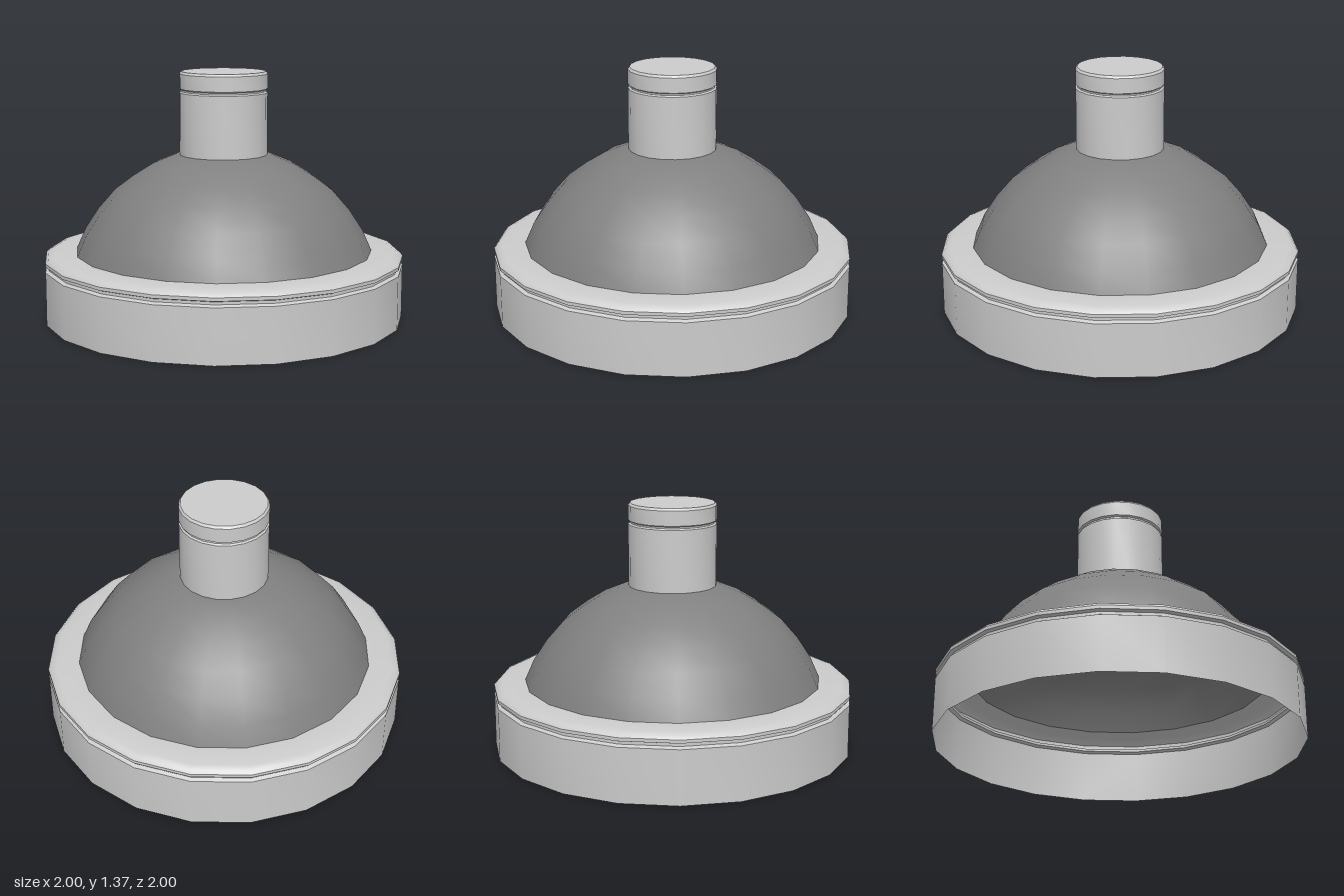
import * as THREE from 'three';
import { toCreasedNormals } from 'three/addons/utils/BufferGeometryUtils.js';

const SIDES = 20;

// Revolve a [radius, height] profile, listed from bottom to top
function turned(name, profile, color, crease = 0.6) {
  const points = profile.map(([r, y]) => new THREE.Vector2(r, y));
  const geometry = toCreasedNormals(new THREE.LatheGeometry(points, SIDES), crease);
  const material = new THREE.MeshStandardMaterial({ color, side: THREE.DoubleSide });
  const mesh = new THREE.Mesh(geometry, material);
  mesh.name = name;
  return mesh;
}

export function createModel() {
  const group = new THREE.Group();
  group.name = 'domedCap';

  // Open-bottomed rim: wall, narrow groove, bead, rounded shoulder, flat top
  group.add(turned('rim', [
    [1, 0], [1, 0.295], [0.98, 0.305], [0.98, 0.32], [1, 0.327],
    [1, 0.345], [0.985, 0.362], [0.955, 0.373], [0.825, 0.373],
  ], 0xcccccc));

  // Thin dark dome shell, flattened where the neck starts
  group.add(turned('dome', [
    [0.825, 0.373], [0.775, 0.486], [0.7, 0.6], [0.604, 0.71],
    [0.497, 0.79], [0.39, 0.857], [0.267, 0.908], [0.243, 0.91],
  ], 0x808080));

  // Neck tube with a groove below its closed cap
  group.add(turned('neck', [
    [0.243, 0.908], [0.243, 1.252], [0.233, 1.259], [0.233, 1.267], [0.243, 1.274],
    [0.243, 1.355], [0.233, 1.368], [0, 1.368],
  ], 0xcccccc));

  return group;
}
